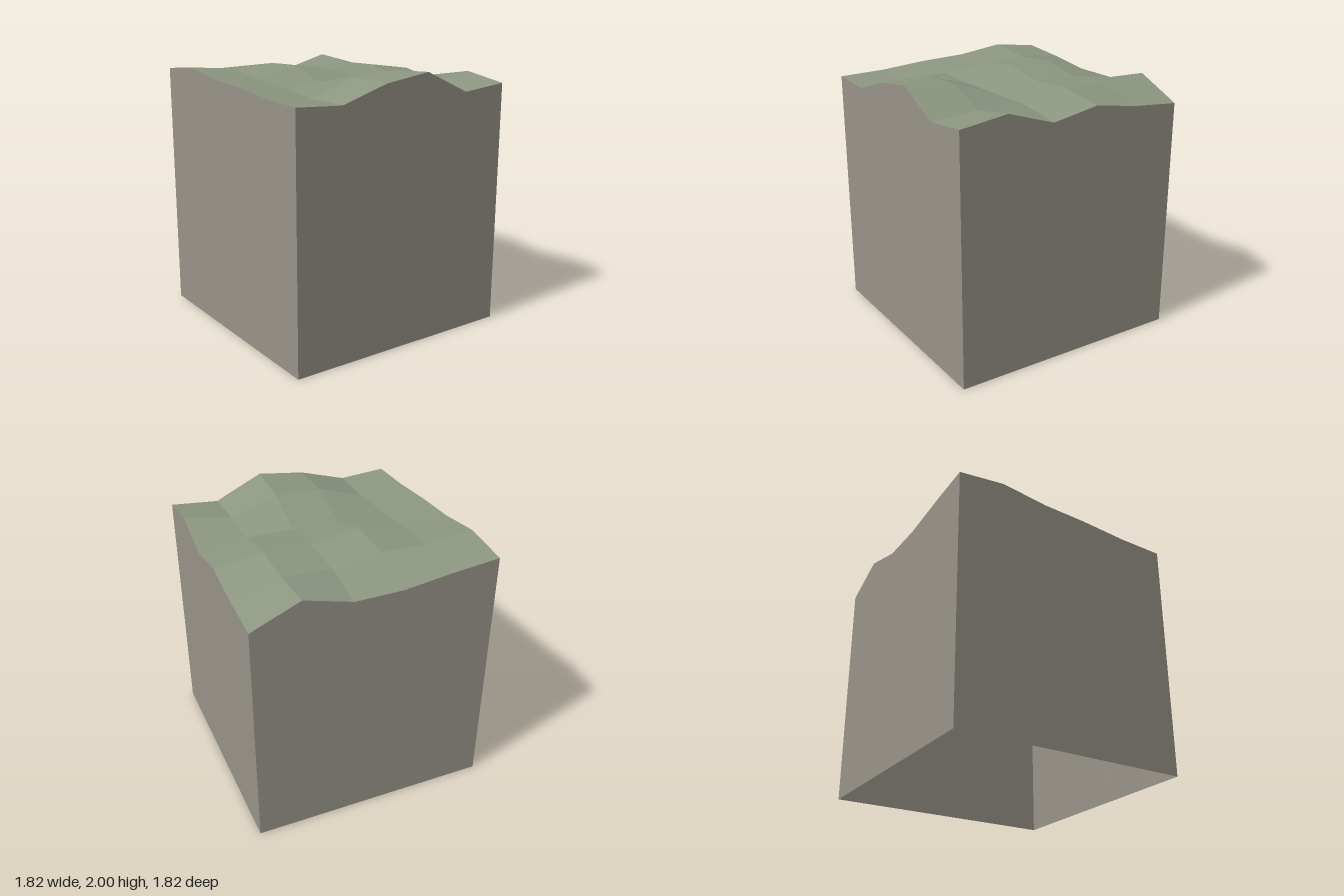
import * as THREE from 'three';

// Surface heights: rows run back to front (-z to +z), columns run -x to +x
const HEIGHTS = [
  [1.92, 1.885, 1.838, 1.836, 1.936, 1.78],
  [1.962, 1.925, 1.945, 1.89, 1.905, 1.81],
  [1.915, 1.895, 1.955, 1.895, 1.915, 1.865],
  [1.9, 1.865, 1.848, 1.85, 1.85, 1.8],
  [1.87, 1.835, 1.956, 1.975, 1.855, 1.915],
  [1.86, 1.838, 1.95, 2.0, 1.83, 1.865],
];
const N = 5;
const HALF = 0.909;
const coord = (k) => -HALF + (2 * HALF * k) / N;
const point = (i, j) => new THREE.Vector3(coord(i), HEIGHTS[j][i], coord(j));
const foot = (p) => new THREE.Vector3(p.x, 0, p.z);

// Quads with one flat normal each, corners counter-clockwise
function quadGeometry(quads) {
  const positions = [];
  const normals = [];
  for (const [a, b, c, d] of quads) {
    const n = c.clone().sub(a).cross(d.clone().sub(b)).normalize();
    for (const p of [a, b, c, a, c, d]) {
      positions.push(p.x, p.y, p.z);
      normals.push(n.x, n.y, n.z);
    }
  }
  const g = new THREE.BufferGeometry();
  g.setAttribute('position', new THREE.Float32BufferAttribute(positions, 3));
  g.setAttribute('normal', new THREE.Float32BufferAttribute(normals, 3));
  return g;
}

export function createModel() {
  const group = new THREE.Group();
  group.name = 'terrainBlock';
  const grass = new THREE.MeshStandardMaterial({ color: 0x8c967f, side: THREE.DoubleSide });
  grass.name = 'mossGreen';
  const rock = new THREE.MeshStandardMaterial({ color: 0x989389, side: THREE.DoubleSide });
  rock.name = 'stoneGrey';

  const add = (name, quads, material) => {
    const mesh = new THREE.Mesh(quadGeometry(quads), material);
    mesh.name = name;
    group.add(mesh);
  };

  // Uneven top surface
  const cells = [];
  for (let j = 0; j < N; j++) {
    for (let i = 0; i < N; i++) {
      cells.push([point(i, j), point(i, j + 1), point(i + 1, j + 1), point(i + 1, j)]);
    }
  }
  add('groundSurface', cells, grass);

  // Four walls following the surface edge, open underneath
  const edges = {
    frontWall: (k) => point(k, N),
    rightWall: (k) => point(N, N - k),
    backWall: (k) => point(N - k, 0),
    leftWall: (k) => point(0, k),
  };
  for (const [name, edge] of Object.entries(edges)) {
    const strips = [];
    for (let k = 0; k < N; k++) {
      const p = edge(k);
      const q = edge(k + 1);
      strips.push([foot(p), foot(q), q, p]);
    }
    add(name, strips, rock);
  }
  return group;
}
